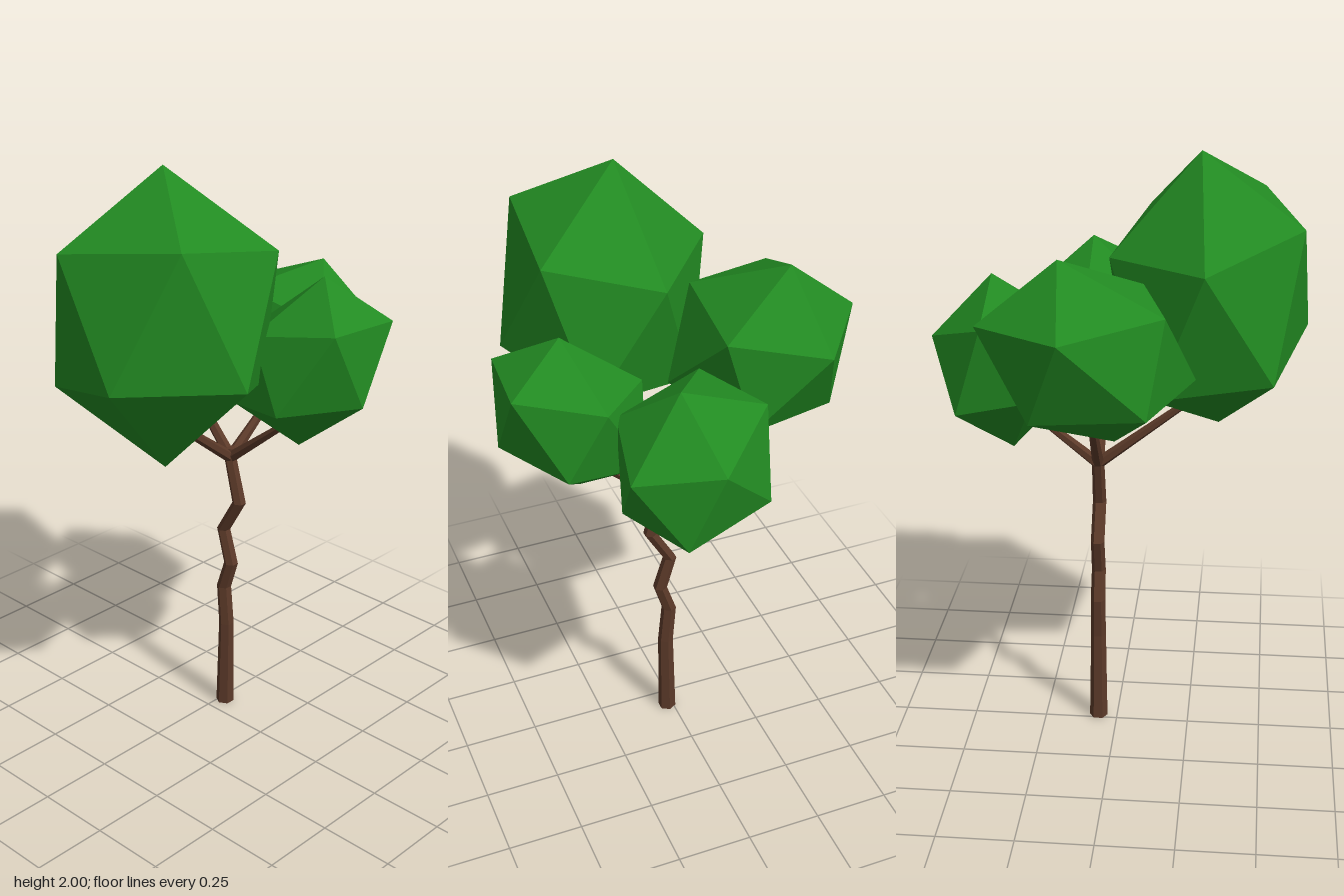
import * as THREE from 'three';

const leafMat = new THREE.MeshStandardMaterial({ color: 0x228b22, flatShading: true });
const barkMat = new THREE.MeshStandardMaterial({ color: 0x5c3a29, flatShading: true });
const v = (a) => new THREE.Vector3(...a);

// Leaf clump: icosahedron standing on a vertex, stretched and tilted along three axes
function leafClump(name, center, xAxis, yAxis, zAxis) {
  const geo = new THREE.IcosahedronGeometry(1, 0);
  geo.rotateZ(Math.atan(2 / (1 + Math.sqrt(5))));
  geo.rotateY(Math.PI);
  const m = new THREE.Matrix4().makeBasis(v(xAxis), v(yAxis), v(zAxis)).setPosition(v(center));
  geo.applyMatrix4(m);
  geo.computeVertexNormals();
  const mesh = new THREE.Mesh(geo, leafMat);
  mesh.name = name;
  return mesh;
}

// Stem: cylinder whose rings are moved onto the stations [x, y, z, radius]
function stem(name, stations, sides) {
  const n = stations.length - 1;
  const geo = new THREE.CylinderGeometry(1, 1, 1, sides, n);
  const p = geo.attributes.position;
  for (let i = 0; i < p.count; i++) {
    const [x, y, z, r] = stations[Math.round((p.getY(i) + 0.5) * n)];
    p.setXYZ(i, x + p.getX(i) * r, y, z + p.getZ(i) * r);
  }
  geo.computeVertexNormals();
  const mesh = new THREE.Mesh(geo, barkMat);
  mesh.name = name;
  return mesh;
}

// Branch: tapered rod from the fork to a tip
function branch(name, from, to) {
  const a = v(from), d = v(to).sub(a);
  const mesh = new THREE.Mesh(new THREE.CylinderGeometry(0.011, 0.02, d.length(), 6), barkMat);
  mesh.position.copy(a).addScaledVector(d, 0.5);
  mesh.quaternion.setFromUnitVectors(new THREE.Vector3(0, 1, 0), d.normalize());
  mesh.name = name;
  return mesh;
}

export function createModel() {
  const tree = new THREE.Group();
  tree.name = 'tree';

  // Crooked trunk
  const z = -0.065;
  tree.add(stem('trunk', [
    [0.02, 0, z, 0.031], [0.025, 0.32, z, 0.026], [0.013, 0.46, z, 0.025], [0.045, 0.56, z, 0.024],
    [0.01, 0.68, z, 0.023], [0.08, 0.8, z, 0.023], [0.04, 0.95, z, 0.021], [0.04, 0.99, z, 0.018],
  ], 6));

  // Four branches spreading from the fork
  const fork = [0.04, 0.955, z];
  tree.add(
    branch('rightBranch', fork, [-0.22, 1.25, z]),
    branch('leftBranch', fork, [0.31, 1.17, z]),
    branch('frontBranch', fork, [0.04, 1.22, 0.28]),
    branch('backBranch', fork, [0.04, 1.15, -0.31]),
  );

  // Foliage
  tree.add(
    leafClump('frontFoliage', [0.1, 1.54, 0.295], [0.315, 0.023, -0.218], [-0.034, 0.46, -0.035], [0.2, 0.097, 0.285]),
    leafClump('rightFoliage', [-0.297, 1.45, -0.063], [0.253, 0.005, -0.18], [-0.058, 0.305, -0.079], [0.156, 0.04, 0.286]),
    leafClump('backFoliage', [0.058, 1.3, -0.38], [0.251, -0.078, -0.126], [0.061, 0.277, -0.04], [0.122, 0.026, 0.21]),
    leafClump('leftFoliage', [0.35, 1.363, -0.097], [0.226, 0.037, -0.126], [0.03, 0.283, -0.015], [0.145, 0.034, 0.205]),
  );
  return tree;
}
